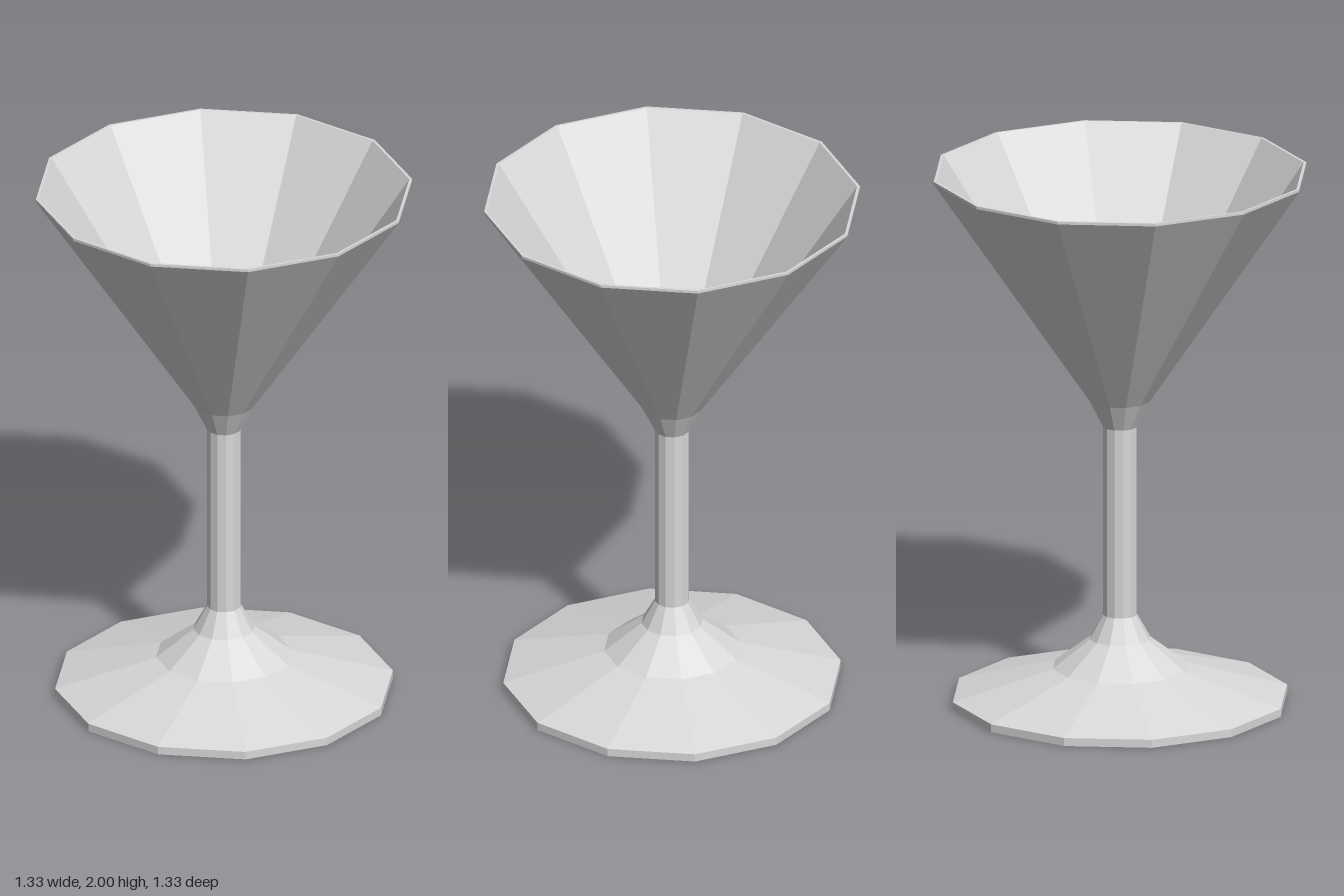
import * as THREE from 'three';

const SIDES = 12;

// Revolve a profile of [apothem, y] points into a faceted solid with flats facing the axes
function facetedLathe(name, profile, material) {
  const toCorner = 1 / Math.cos(Math.PI / SIDES);
  const points = profile.map(([r, y]) => new THREE.Vector2(r * toCorner, y));
  const geometry = new THREE.LatheGeometry(points, SIDES, Math.PI / SIDES);
  const mesh = new THREE.Mesh(geometry, material);
  mesh.name = name;
  return mesh;
}

export function createModel() {
  const glass = new THREE.MeshStandardMaterial({ color: 0xd8d8d8, flatShading: true });
  glass.name = 'pale grey glass';

  const group = new THREE.Group();
  group.name = 'cocktailGlass';

  // Foot: flat underside with a faint dimple, thin edge, then a flared top
  group.add(facetedLathe('foot', [
    [0, 0.01], [0.15, 0], [0.597, 0], [0.597, 0.03],
    [0.24, 0.135], [0.108, 0.24], [0.06, 0.33],
  ], glass));

  // Stem
  group.add(facetedLathe('stem', [[0.06, 0.33], [0.06, 1.04]], glass));

  // Bowl: collar, outer wall, thin rim, inner wall and shallow floor
  group.add(facetedLathe('bowl', [
    [0.06, 1.04], [0.108, 1.14], [0.665, 1.99], [0.665, 2],
    [0.655, 2], [0.133, 1.2], [0, 1.17],
  ], glass));

  return group;
}
